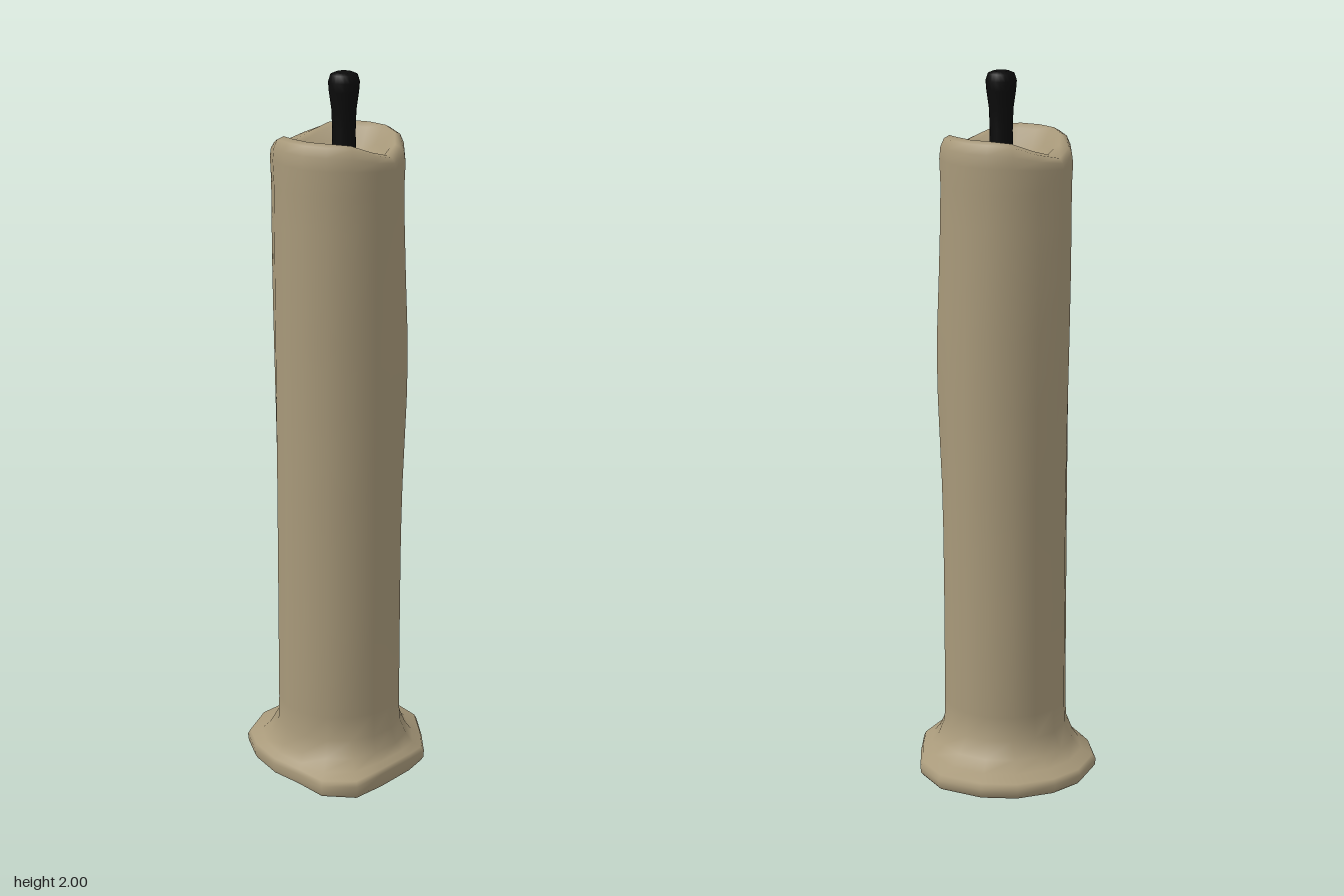
import * as THREE from 'three';

const SIDES = 16;
const CX = 0.025, CZ = 0.018;

// Outline of the melted wax foot, [x, z], starting at +x and turning towards +z
const FOOT = [
  [0.26, 0], [0.245, 0.13], [0.225, 0.23], [0.135, 0.275],
  [0.035, 0.245], [-0.06, 0.228], [-0.16, 0.18], [-0.23, 0.115],
  [-0.262, 0], [-0.245, -0.095], [-0.185, -0.19], [-0.1, -0.25],
  [0.03, -0.28], [0.13, -0.24], [0.2, -0.155], [0.257, -0.075],
];

const bump = (v, centre, width) => Math.exp(-(((v - centre) / width) ** 2));

// Column ring point, with soft drips running down the sides
function columnPoint(i, y, r) {
  const a = (i / SIDES) * Math.PI * 2;
  const drip = 0.02 * bump(i, 8, 1.3) * THREE.MathUtils.smoothstep(y, 0.7, 1.6)
    + 0.018 * bump(i, 14.5, 1.1) * bump(y, 1.2, 0.3)
    + 0.008 * bump(i, 11, 0.8) * bump(y, 1.3, 0.4);
  const rr = r + (r > 0.16 ? drip : 0);
  return [CX + Math.cos(a) * rr, y, CZ + Math.sin(a) * rr];
}

// Foot ring point: blend from the column to the foot outline
function footPoint(i, y, t) {
  const [x, , z] = columnPoint(i, y, 0.175);
  const lift = 0.012 * bump(i, 1, 2) * t * (y > 0.02 ? 1 : 0);
  return [x + (FOOT[i][0] - x) * t, y + lift, z + (FOOT[i][1] - z) * t];
}

// Rim ring point: the lip sags on both sides
function rimPoint(i, y, r, sag) {
  const p = columnPoint(i, y, r);
  p[1] -= sag * Math.cos((i / SIDES) * Math.PI * 2) ** 6;
  return p;
}

// Smooth skin through rings, closed with a centre point at the end
function loft(rings, centre) {
  const pos = [...rings.flat(2), ...centre], index = [];
  for (let k = 0; k < rings.length; k++) {
    for (let i = 0; i < SIDES; i++) {
      const j = (i + 1) % SIDES;
      const a = k * SIDES + i, b = k * SIDES + j;
      if (k === rings.length - 1) index.push(a, rings.length * SIDES, b);
      else index.push(a, a + SIDES, b, b, a + SIDES, b + SIDES);
    }
  }
  const g = new THREE.BufferGeometry();
  g.setAttribute('position', new THREE.Float32BufferAttribute(pos, 3));
  g.setIndex(index);
  g.computeVertexNormals();
  return g;
}

const ring = (fn, ...args) => Array.from({ length: SIDES }, (_, i) => fn(i, ...args));

export function createModel() {
  const wax = new THREE.MeshStandardMaterial({ color: 0xa8997a });
  wax.name = 'wax';
  const char = new THREE.MeshStandardMaterial({ color: 0x0b0b0b });
  char.name = 'charredWick';

  const group = new THREE.Group();
  group.name = 'candle';
  const add = (name, geometry, material) => {
    const mesh = new THREE.Mesh(geometry, material);
    mesh.name = name;
    group.add(mesh);
    return mesh;
  };

  // Foot, column, rounded lip and melted bowl as one skin
  const foot = [[0.004, 0.9], [0.014, 0.98], [0.034, 1], [0.048, 0.92], [0.058, 0.55], [0.085, 0.28], [0.13, 0.03]];
  const column = [0.2, 0.5, 0.7, 0.85, 1, 1.1, 1.2, 1.3, 1.45, 1.6, 1.7];
  const lip = [
    [1.77, 0.178, 0.01], [1.805, 0.175, 0.03], [1.83, 0.165, 0.042], [1.838, 0.15, 0.045],
    [1.825, 0.135, 0.04], [1.79, 0.118, 0.022], [1.755, 0.095, 0], [1.74, 0.05, 0],
  ];
  add('waxBody', loft([
    ...foot.map(([y, t]) => ring(footPoint, y, t)),
    ...column.map((y) => ring(columnPoint, y, 0.175)),
    ...lip.map(([y, r, sag]) => ring(rimPoint, y, r, sag)),
  ], [CX, 1.735, CZ]), wax);

  // Flat underside
  add('underside', loft([ring(footPoint, 0.004, 0.9).reverse()], [0, 0, 0]), wax);

  // Wick, wider at its burnt tip
  const profile = [[0.034, 1.72], [0.031, 1.84], [0.033, 1.9], [0.04, 1.95], [0.042, 1.975], [0.036, 1.994], [0.022, 2], [0, 2]]
    .map(([r, y]) => new THREE.Vector2(r, y));
  const wick = add('wick', new THREE.LatheGeometry(profile, 20), char);
  wick.position.set(0.042, 0, 0.022);

  return group;
}
